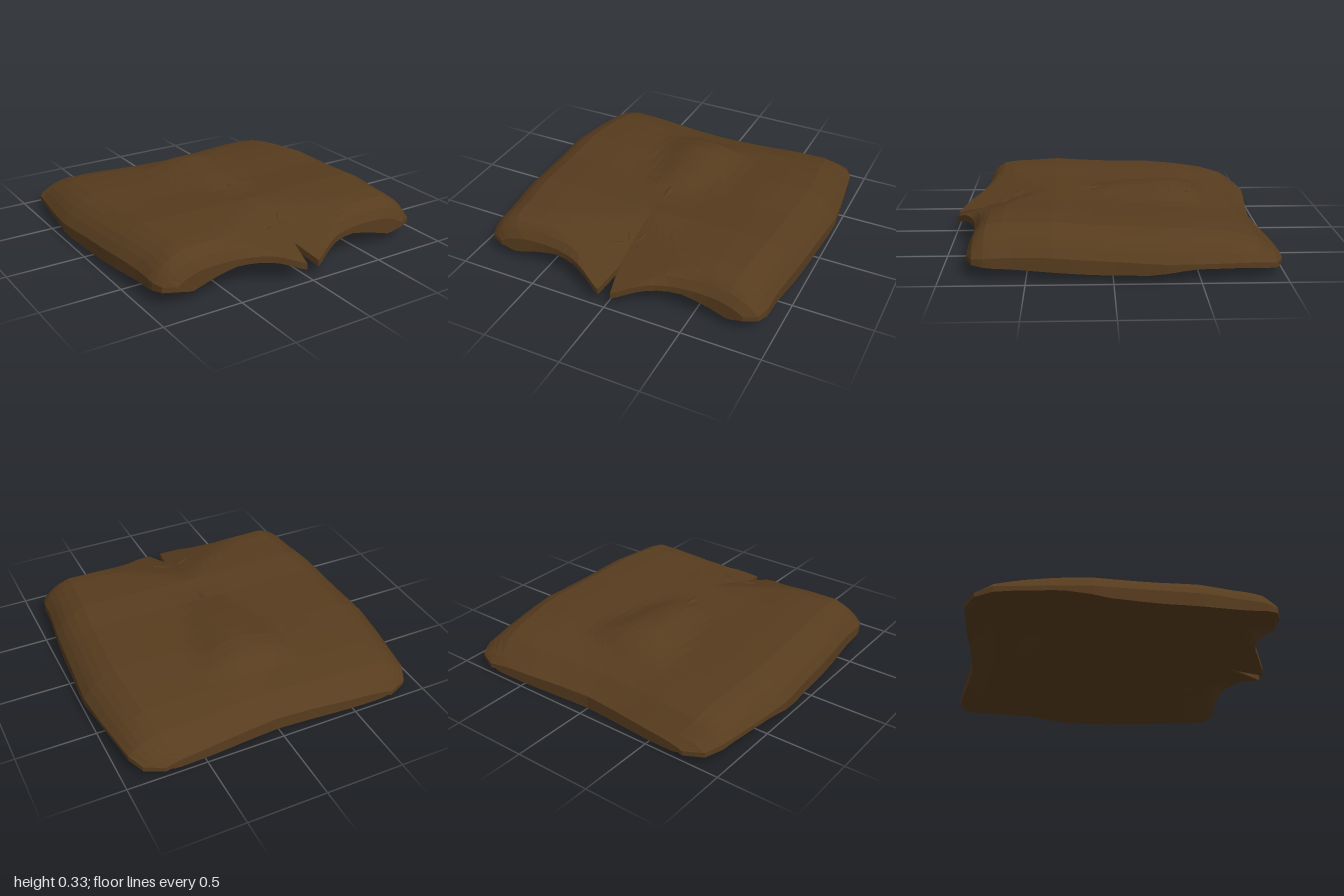
import * as THREE from 'three';

// Piecewise-linear curve through [position, value] pairs
const curve = (pts) => (t) => {
  if (t <= pts[0][0]) return pts[0][1];
  for (let i = 1; i < pts.length; i++) {
    const [a, va] = pts[i - 1], [b, vb] = pts[i];
    if (t <= b) return va + ((vb - va) * (t - a)) / (b - a);
  }
  return pts[pts.length - 1][1];
};
const clamp01 = (t) => Math.min(1, Math.max(0, t));
const { lerp, smoothstep } = THREE.MathUtils;
// Minimum with a rounded transition
const softMin = (a, b, k) => {
  const h = clamp01(0.5 + (b - a) / (2 * k));
  return lerp(b, a, h) - k * h * (1 - h);
};

// Outline: half width along z, and the wavy front and back edges across x
const halfWidth = curve([[-1, 0.76], [-0.95, 0.88], [-0.85, 0.93], [-0.5, 0.98], [-0.3, 1], [0, 0.98],
  [0.3, 0.965], [0.6, 0.93], [0.73, 0.93], [0.81, 0.9], [0.845, 0.82]]);
const frontEdge = curve([[0, -0.04], [0.04, 0.145], [0.06, 0.14], [0.2, 0.065], [0.3, 0.015], [0.4, -0.01],
  [0.55, -0.02], [0.82, 0]]);
const backEdge = curve([[0, 0.07], [0.2, 0.055], [0.5, 0.02], [0.76, 0]]);

// Heights along z: crown of the top, side seam, lower side edge, shell thickness, swelling
const crown = curve([[-1, 0.09], [-0.95, 0.125], [-0.85, 0.195], [-0.7, 0.24], [-0.5, 0.265], [-0.3, 0.28],
  [0, 0.288], [0.15, 0.295], [0.35, 0.312], [0.65, 0.302], [0.74, 0.288], [0.8, 0.25], [0.845, 0.18]]);
const seam = curve([[-1, 0.07], [-0.85, 0.1], [-0.2, 0.12], [0.4, 0.15], [0.7, 0.14], [0.845, 0.12]]);
const lowerEdge = curve([[-1, 0.03], [-0.9, 0.03], [-0.8, 0.04], [-0.7, 0.055], [-0.45, 0.05], [-0.2, 0.02],
  [0.1, 0.02], [0.7, 0.05], [0.845, 0.065]]);
const thickness = curve([[-1, 0.085], [-0.85, 0.08], [-0.5, 0.06], [0.6, 0.06], [0.8, 0.06], [0.845, 0.04]]);
const swelling = curve([[-0.66, 0], [-0.62, 0.015], [-0.53, 0.062], [-0.4, 0.076], [-0.2, 0.058], [-0.05, 0.045],
  [0.15, 0]]);

// Fall-off from the middle to the sides: top, underside, and underside at the front edge
const topRoll = curve([[0, 0.92], [0.3, 0.93], [0.6, 1], [0.8, 0.96], [0.9, 0.7], [0.96, 0.34], [1, 0]]);
const innerArch = curve([[0, 1], [0.25, 0.9], [0.45, 0.7], [0.65, 0.4], [0.87, 0]]);
const frontArch = curve([[0, 1], [0.5, 1], [0.7, 0.5], [0.87, 0]]);

function surfacePoint(u, row) {
  const a = Math.abs(u);
  const x = u * halfWidth(row), ax = Math.abs(x);
  const z = row + frontEdge(ax) * clamp01((row - 0.45) / 0.395) + backEdge(ax) * clamp01((-0.4 - row) / 0.6);
  let top = lerp(seam(row), crown(row), topRoll(a));
  // V-shaped swelling towards the back
  const spread = 0.22 + 0.16 * clamp01(-2 * z);
  top += swelling(z) * (1 - smoothstep(ax, 0.02, spread));
  // Middle of the front folds down into two pointed flaps
  top = softMin(top, 0.3 - 0.32 * (z - (0.4 + 0.6 * ax)), 0.02);
  const low = lowerEdge(row) + 0.03 * clamp01((a - 0.9) / 0.1);
  const arch = lerp(innerArch(a), frontArch(a), smoothstep(row, 0.5, 0.8));
  const bottom = lerp(low, top - thickness(row), arch);
  return { x, z, top, bottom: Math.min(bottom, top - 0.03) };
}

function padGeometry() {
  const half = [0.05, 0.09, 0.13, 0.17, 0.22, 0.28, 0.35, 0.43, 0.52, 0.62, 0.72, 0.8, 0.87, 0.92, 0.96, 1];
  const us = [...half.map((u) => -u).reverse(), 0, ...half];
  const rows = [-1, -0.95, -0.85, -0.75, -0.68, -0.62, -0.57, -0.52, -0.46, -0.4, -0.3, -0.2, -0.1, 0, 0.12,
    0.24, 0.35, 0.43, 0.5, 0.57, 0.65, 0.7, 0.74, 0.78, 0.81, 0.845];
  const n = us.length, m = rows.length, count = n * m;
  const upper = [], lower = [], index = [], rim = [];
  for (const row of rows) for (const u of us) {
    const p = surfacePoint(u, row);
    upper.push(p.x, p.top, p.z);
    lower.push(p.x, p.bottom, p.z);
  }
  // Top and underside, diagonals mirrored about the middle
  for (let j = 0; j < m - 1; j++) for (let i = 0; i < n - 1; i++) {
    const a = j * n + i, b = a + n, c = a + 1, d = b + 1;
    const tris = i < (n - 1) / 2 ? [a, b, c, b, d, c] : [a, b, d, a, d, c];
    index.push(...tris);
    for (let k = 0; k < 6; k += 3) index.push(tris[k] + count, tris[k + 2] + count, tris[k + 1] + count);
  }
  // Rim all round: front, left side, back, right side
  for (let i = 0; i < n - 1; i++) rim.push((m - 1) * n + i);
  for (let j = m - 1; j > 0; j--) rim.push(j * n + n - 1);
  for (let i = n - 1; i > 0; i--) rim.push(i);
  for (let j = 0; j < m - 1; j++) rim.push(j * n);
  rim.forEach((t0, k) => {
    const t1 = rim[(k + 1) % rim.length];
    index.push(t0 + count, t1 + count, t0, t1 + count, t1, t0);
  });
  const geometry = new THREE.BufferGeometry();
  geometry.setAttribute('position', new THREE.Float32BufferAttribute([...upper, ...lower], 3));
  geometry.setIndex(index);
  geometry.computeVertexNormals();
  return geometry;
}

export function createModel() {
  const group = new THREE.Group();
  const material = new THREE.MeshStandardMaterial({ color: 0x573c1e, flatShading: true });

  const pad = new THREE.Mesh(padGeometry(), material);
  pad.name = 'hidePad';
  group.add(pad);

  // Slim raised fold lying on the top between two points
  const addFold = (name, from, to, width) => {
    const a = new THREE.Vector3(...from), b = new THREE.Vector3(...to);
    const fold = new THREE.Mesh(new THREE.OctahedronGeometry(1), material);
    fold.name = name;
    fold.position.copy(a).lerp(b, 0.5);
    fold.scale.set(width, 0.01, a.distanceTo(b) / 2);
    fold.lookAt(b);
    group.add(fold);
  };
  addFold('middleFold', [0, 0.298, 0.02], [0, 0.288, 0.22], 0.025);
  for (const s of [-1, 1]) {
    addFold('backCrease', [s * 0.04, 0.322, -0.22], [s * 0.15, 0.3, -0.53], 0.018);
    addFold('frontPucker', [s * 0.07, 0.268, 0.52], [s * 0.01, 0.225, 0.64], 0.02);
    addFold('frontPucker', [s * 0.01, 0.225, 0.63], [s * 0.13, 0.232, 0.7], 0.02);
  }
  return group;
}
